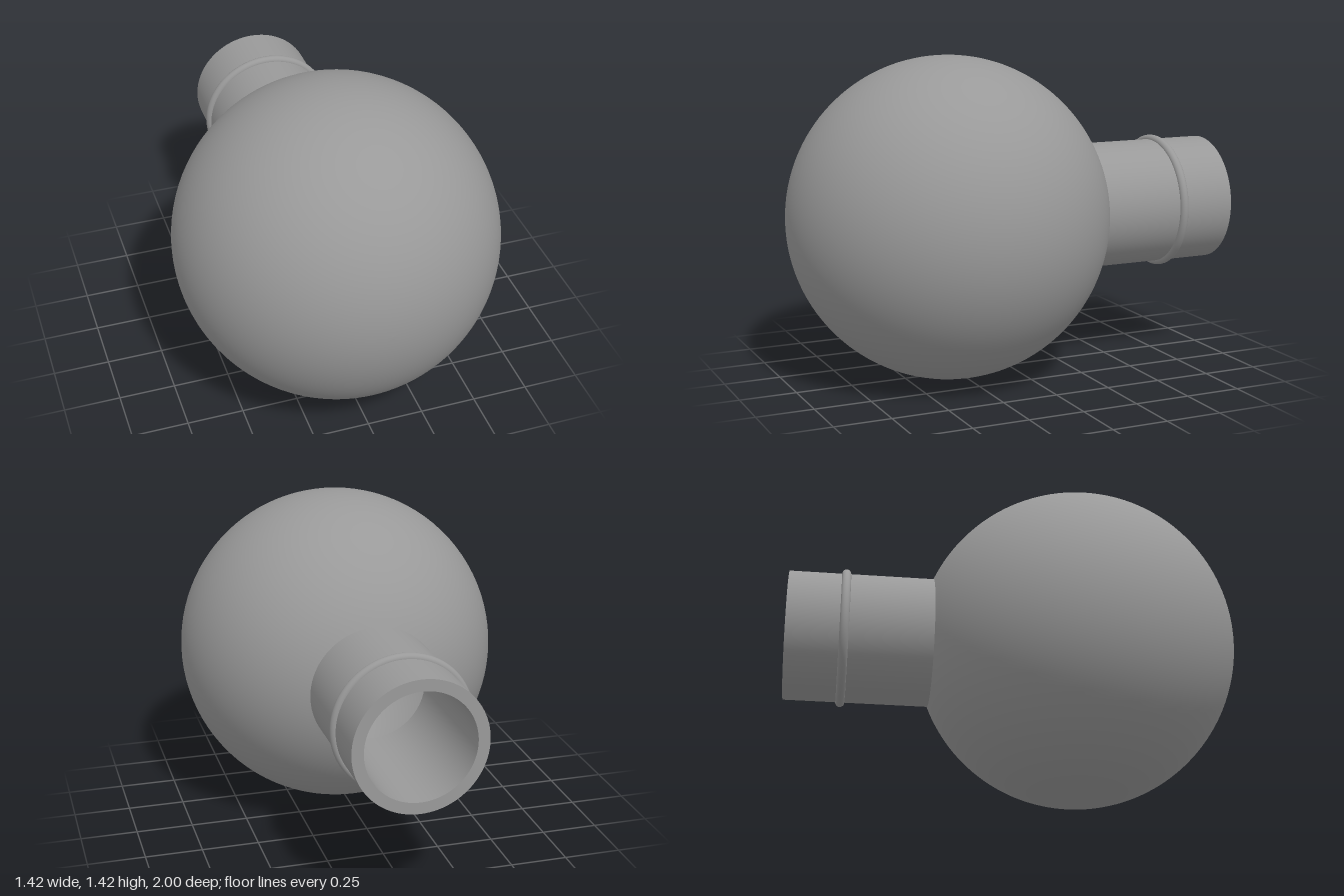
import * as THREE from 'three';

// Hollow round flask lying on its side, neck pointing to the back
export function createModel() {
  const grey = new THREE.MeshStandardMaterial({ color: 0x999999 });
  grey.name = 'grey';

  const R = 0.712, wall = 0.05;           // bulb
  const neckR = 0.285, boreR = 0.235;     // neck
  const mouth = 1.288, ringAt = 1.038;    // distances from bulb centre

  const flask = new THREE.Group();
  flask.name = 'flask';
  flask.position.set(0, R, 0.288);
  flask.rotation.x = -Math.PI / 2;        // lathe axis points to -z

  const add = (name, geometry) => {
    const mesh = new THREE.Mesh(geometry, grey);
    mesh.name = name;
    flask.add(mesh);
    return mesh;
  };
  const turn = (points) =>
    new THREE.LatheGeometry(points.map(([r, y]) => new THREE.Vector2(r, y)), 96);

  // Circular arc from the pole opposite the neck up to the neck opening
  const arc = (radius, opening) => {
    const end = Math.PI - Math.asin(opening / radius);
    return Array.from({ length: 65 }, (_, i) => {
      const a = (end * i) / 64;
      return [radius * Math.sin(a), -radius * Math.cos(a)];
    });
  };
  const outer = arc(R, neckR);
  const inner = arc(R - wall, boreR).reverse();

  // Bulb, outside and inside
  add('bulb', turn(outer));
  add('bulbInside', turn(inner));

  // Neck tube with open mouth
  add('neck', turn([[neckR, outer[64][1]], [neckR, mouth]]));
  add('neckRim', turn([[neckR, mouth], [boreR, mouth]]));
  add('neckBore', turn([[boreR, mouth], [boreR, inner[0][1]]]));

  // Raised bead around the neck
  const ring = add('neckRing', new THREE.TorusGeometry(neckR, 0.02, 20, 96));
  ring.rotation.x = Math.PI / 2;
  ring.position.y = ringAt;

  const model = new THREE.Group();
  model.name = 'roundFlask';
  model.add(flask);
  return model;
}
